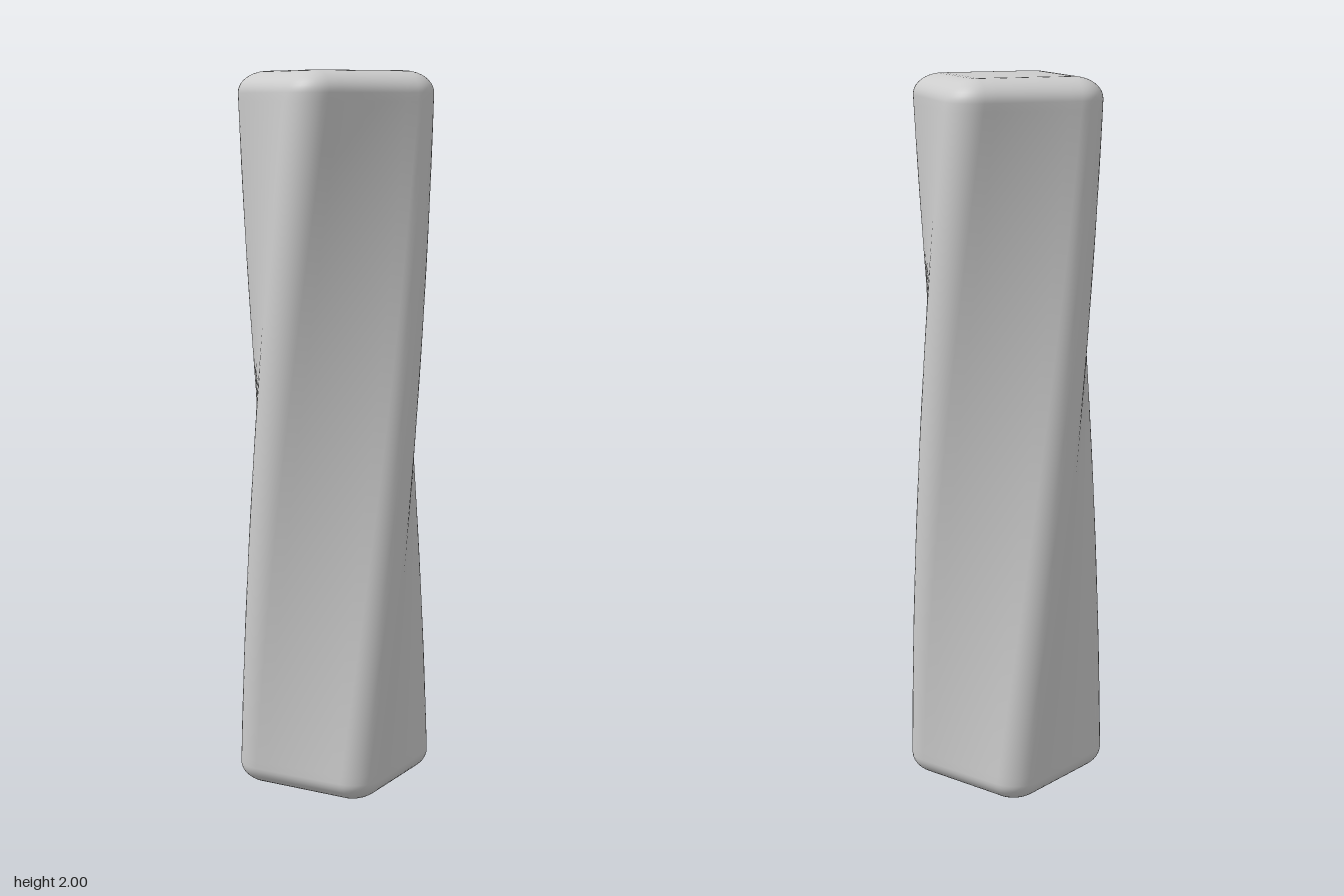
import * as THREE from 'three';

const HALF = 0.22;            // half width of the square section
const CORNER = 0.086;         // rounding of the long edges
const BEVEL = 0.06;           // height of the rounding at both ends
const HEIGHT = 2;
const TWIST = Math.PI / 3;    // total turn from bottom to top

// Ring levels: rounded bottom edge, straight body, rounded top edge
function makeLevels() {
  const levels = [];
  const bevelSteps = 10, bodySteps = 80;
  for (let i = 0; i <= bevelSteps; i++) {
    const a = (i / bevelSteps) * Math.PI / 2;
    levels.push({ y: BEVEL * (1 - Math.cos(a)), r: CORNER * Math.sin(a) });
  }
  for (let i = 1; i < bodySteps; i++) {
    levels.push({ y: BEVEL + (HEIGHT - 2 * BEVEL) * i / bodySteps, r: CORNER });
  }
  for (let i = bevelSteps; i >= 0; i--) {
    const a = (i / bevelSteps) * Math.PI / 2;
    levels.push({ y: HEIGHT - BEVEL * (1 - Math.cos(a)), r: CORNER * Math.sin(a) });
  }
  return levels;
}

// Square outline with round corners, running from +x towards +z
function outline(r) {
  const points = [], core = HALF - CORNER, arcSteps = 10, flatSteps = 8;
  for (let side = 0; side < 4; side++) {
    const c = Math.round(Math.cos(side * Math.PI / 2));
    const s = Math.round(Math.sin(side * Math.PI / 2));
    const add = (x, z) => points.push([x * c - z * s, x * s + z * c]);
    for (let i = 0; i < flatSteps; i++) add(core + r, core * (2 * i / flatSteps - 1));
    for (let i = 0; i < arcSteps; i++) {
      const a = (i / arcSteps) * Math.PI / 2;
      add(core + r * Math.cos(a), core + r * Math.sin(a));
    }
  }
  return points;
}

function twistedBlock() {
  const positions = [], indices = [], levels = makeLevels();
  let n = 0;
  for (const { y, r } of levels) {
    const t = -TWIST * y / HEIGHT;
    const c = Math.cos(t), s = Math.sin(t);
    const ring = outline(r);
    n = ring.length;
    for (const [x, z] of ring) positions.push(x * c - z * s, y, x * s + z * c);
  }
  // Skin between neighbouring rings
  for (let j = 0; j < levels.length - 1; j++) {
    for (let i = 0; i < n; i++) {
      const a = j * n + i, b = j * n + (i + 1) % n;
      indices.push(a, a + n, b, b, a + n, b + n);
    }
  }
  // Flat ends
  const bottom = positions.length / 3, top = bottom + 1;
  positions.push(0, 0, 0, 0, HEIGHT, 0);
  const last = (levels.length - 1) * n;
  for (let i = 0; i < n; i++) {
    const k = (i + 1) % n;
    indices.push(bottom, i, k, top, last + k, last + i);
  }
  const geometry = new THREE.BufferGeometry();
  geometry.setAttribute('position', new THREE.Float32BufferAttribute(positions, 3));
  geometry.setIndex(indices);
  geometry.computeVertexNormals();
  return geometry;
}

export function createModel() {
  const group = new THREE.Group();
  group.name = 'twistedColumn';
  const grey = new THREE.MeshStandardMaterial({ color: 0xcccccc });
  grey.name = 'light grey';
  const body = new THREE.Mesh(twistedBlock(), grey);
  body.name = 'twistedBody';
  group.add(body);
  return group;
}
